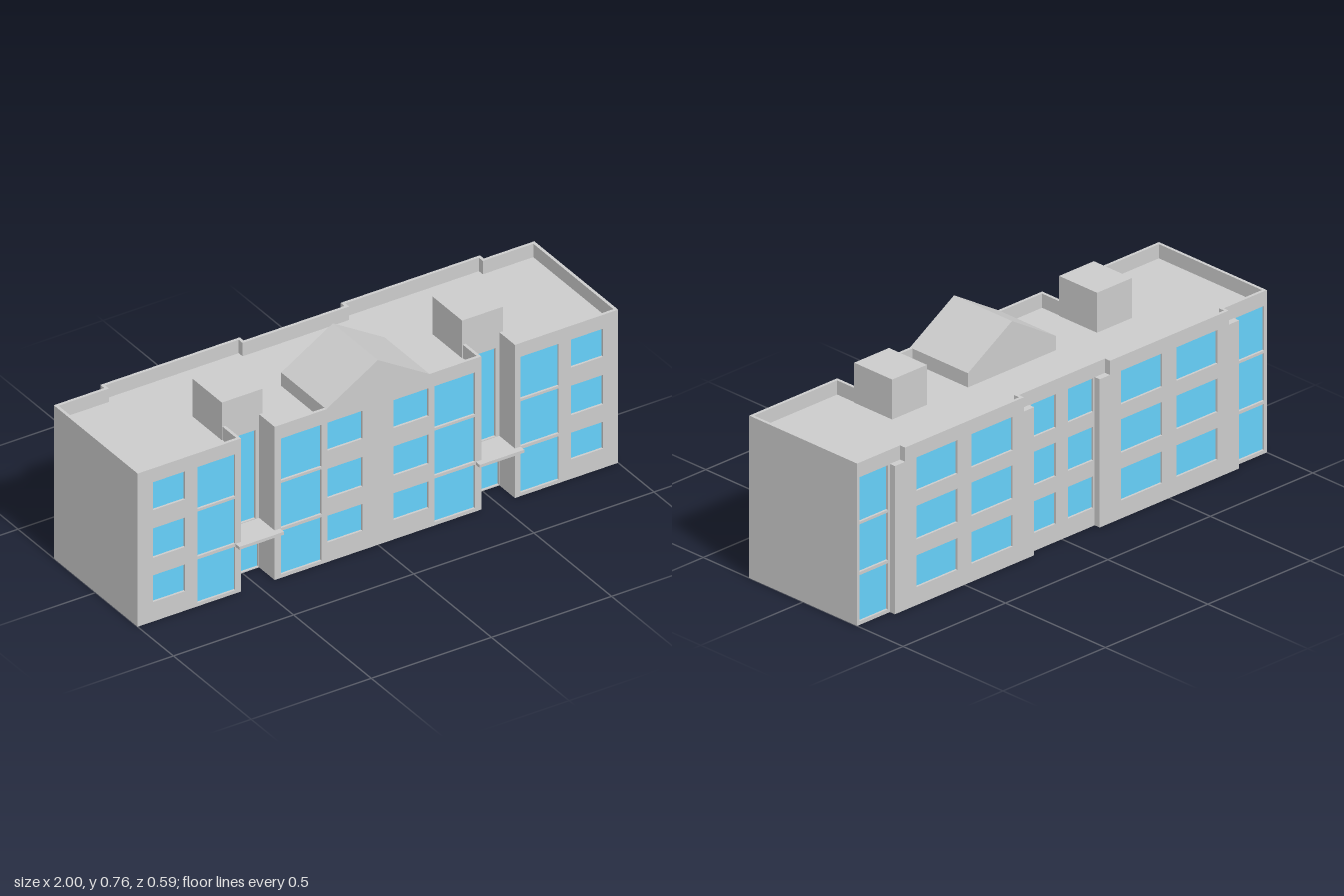
import * as THREE from 'three';

const T = 0.012;        // wall skin and parapet thickness
const ROOF = 0.575;     // flat roof level
const TOP = 0.63;       // parapet top
const FRONT = 0.27, BACK = -0.27, BAY = -0.295, RECESS = 0.17;

const wallMat = new THREE.MeshStandardMaterial({ color: 0xcccccc });
const glassMat = new THREE.MeshStandardMaterial({ color: 0x66d0fa });

// Window rows as [bottom, top]
const SMALL = [[0.08, 0.19], [0.262, 0.383], [0.458, 0.573]];
const WIDE = [[0.07, 0.193], [0.255, 0.385], [0.443, 0.573]];
const TALL = [[0.014, 0.193], [0.205, 0.39], [0.4, 0.573]];

const rows = (x0, x1, list) => list.map(([y0, y1]) => [x0, x1, y0, y1]);
const mirrored = (list) => list.map(([a, b, y0, y1]) => [-b, -a, y0, y1]);
const polygon = (pts) => new THREE.Shape(pts.map(([x, y]) => new THREE.Vector2(x, y)));

function box(parent, name, x0, x1, y0, y1, z0, z1, mat = wallMat) {
  const mesh = new THREE.Mesh(new THREE.BoxGeometry(x1 - x0, y1 - y0, z1 - z0), mat);
  mesh.position.set((x0 + x1) / 2, (y0 + y1) / 2, (z0 + z1) / 2);
  mesh.name = name;
  parent.add(mesh);
}

// Wall skin with real window openings; its outer face is at z, facing +z (dir 1) or -z (dir -1)
function facade(parent, name, outline, windows, z, dir) {
  const group = new THREE.Group();
  group.name = name;
  const shape = polygon(outline);
  for (const [x0, x1, y0, y1] of windows) {
    shape.holes.push(new THREE.Path(polygon([[x0, y0], [x0, y1], [x1, y1], [x1, y0]]).getPoints()));
    const inner = z - dir * T, pane = inner + dir * 0.003;
    box(group, 'windowPane', x0, x1, y0, y1, Math.min(inner, pane), Math.max(inner, pane), glassMat);
  }
  const wall = new THREE.Mesh(new THREE.ExtrudeGeometry(shape, { depth: T, bevelEnabled: false }), wallMat);
  wall.position.z = dir > 0 ? z - T : z;
  wall.name = 'wall';
  group.add(wall);
  parent.add(group);
}

const rect = (x0, x1, y1 = TOP) => [[x0, 0], [x1, 0], [x1, y1], [x0, y1]];

export function createModel() {
  const model = new THREE.Group();
  model.name = 'building';

  // Core: plan with two front recesses and two rear bays, up to the flat roof
  const half = [
    [0, FRONT - T], [0.43 - T, FRONT - T], [0.43 - T, RECESS - T], [0.57 + T, RECESS - T],
    [0.57 + T, FRONT - T], [1 - T, FRONT - T], [1 - T, BACK + T], [0.84, BACK + T],
    [0.84, BAY + T], [0.16, BAY + T], [0.16, BACK + T], [0, BACK + T],
  ];
  const plan = [...half, ...half.slice(1, -1).reverse().map(([x, z]) => [-x, z])];
  const coreGeo = new THREE.ExtrudeGeometry(polygon(plan.map(([x, z]) => [x, -z])), { depth: ROOF, bevelEnabled: false });
  coreGeo.rotateX(-Math.PI / 2);
  const core = new THREE.Mesh(coreGeo, wallMat);
  core.name = 'coreAndRoof';
  model.add(core);

  // Central front wall rising into the gable
  const inner = [...rows(0.065, 0.21, SMALL), ...rows(0.235, 0.404, TALL)];
  facade(model, 'frontCentre', [
    [-0.43, 0], [0.43, 0], [0.43, TOP], [0.215, TOP], [0, 0.76], [-0.215, TOP], [-0.43, TOP],
  ], [...inner, ...mirrored(inner)], FRONT, 1);

  // Gabled roof behind it
  const gable = new THREE.Mesh(new THREE.ExtrudeGeometry(
    polygon([[-0.215, ROOF], [0.215, ROOF], [0.215, TOP], [0, 0.76], [-0.215, TOP]]),
    { depth: FRONT - T + 0.02, bevelEnabled: false }), wallMat);
  gable.position.z = -0.02;
  gable.name = 'gableRoof';
  model.add(gable);

  // Rear centre wall, its parapet lapping onto the bays
  const rear = rows(0.03, 0.152, WIDE);
  facade(model, 'rearCentre', [
    [-0.16, 0], [0.16, 0], [0.16, ROOF], [0.21, ROOF], [0.21, TOP], [-0.21, TOP], [-0.21, ROOF], [-0.16, ROOF],
  ], [...rear, ...mirrored(rear)], BACK, -1);

  // Everything that repeats on both halves
  for (const s of [1, -1]) {
    const side = s > 0 ? 'left' : 'right';
    const flip = (pts) => (s > 0 ? pts : pts.map(([x, y]) => [-x, y]).reverse());
    const win = (list) => (s > 0 ? list : mirrored(list));
    const block = (name, x0, x1, ...rest) =>
      box(model, side + name, s > 0 ? x0 : -x1, s > 0 ? x1 : -x0, ...rest);

    facade(model, side + 'FrontWing', flip(rect(0.57, 1)),
      win([...rows(0.594, 0.752, TALL), ...rows(0.803, 0.937, SMALL)]), FRONT, 1);

    // Entrance recess: door glazing below, tall stair window above
    facade(model, side + 'EntranceWall', flip(rect(0.43 - T, 0.57 + T, ROOF)),
      win([[0.432, 0.568, 0.004, 0.19], [0.446, 0.554, 0.207, 0.57]]), RECESS, 1);
    block('RecessInnerCheek', 0.43 - T, 0.43, 0, TOP, RECESS, FRONT - T);
    block('RecessOuterCheek', 0.57, 0.57 + T, 0, TOP, RECESS, FRONT - T);
    block('CanopyInner', 0.43, 0.57, 0.192, 0.204, RECESS, FRONT);
    block('CanopyOuter', 0.407, 0.593, 0.192, 0.204, FRONT, 0.295);
    block('StairTower', 0.415, 0.585, ROOF, 0.73, -0.02, RECESS);

    // Rear bay with lowered shoulders, then the set-back corner
    facade(model, side + 'RearBay', flip([
      [0.16, 0], [0.84, 0], [0.84, ROOF], [0.79, ROOF], [0.79, TOP], [0.21, TOP], [0.21, ROOF], [0.16, ROOF],
    ]), win([...rows(0.265, 0.465, WIDE), ...rows(0.535, 0.735, WIDE)]), BAY, -1);
    block('BayReturnInner', 0.21, 0.21 + T, ROOF, TOP, BAY + T, BACK + T);
    block('BayReturnOuter', 0.79 - T, 0.79, ROOF, TOP, BAY + T, BACK + T);
    facade(model, side + 'RearCorner', flip([
      [0.84, 0], [1, 0], [1, TOP], [0.79, TOP], [0.79, ROOF], [0.84, ROOF],
    ]), win(rows(0.85, 0.987, TALL)), BACK, -1);

    block('EndWall', 1 - T, 1, 0, TOP, BACK + T, FRONT - T);
  }
  return model;
}
